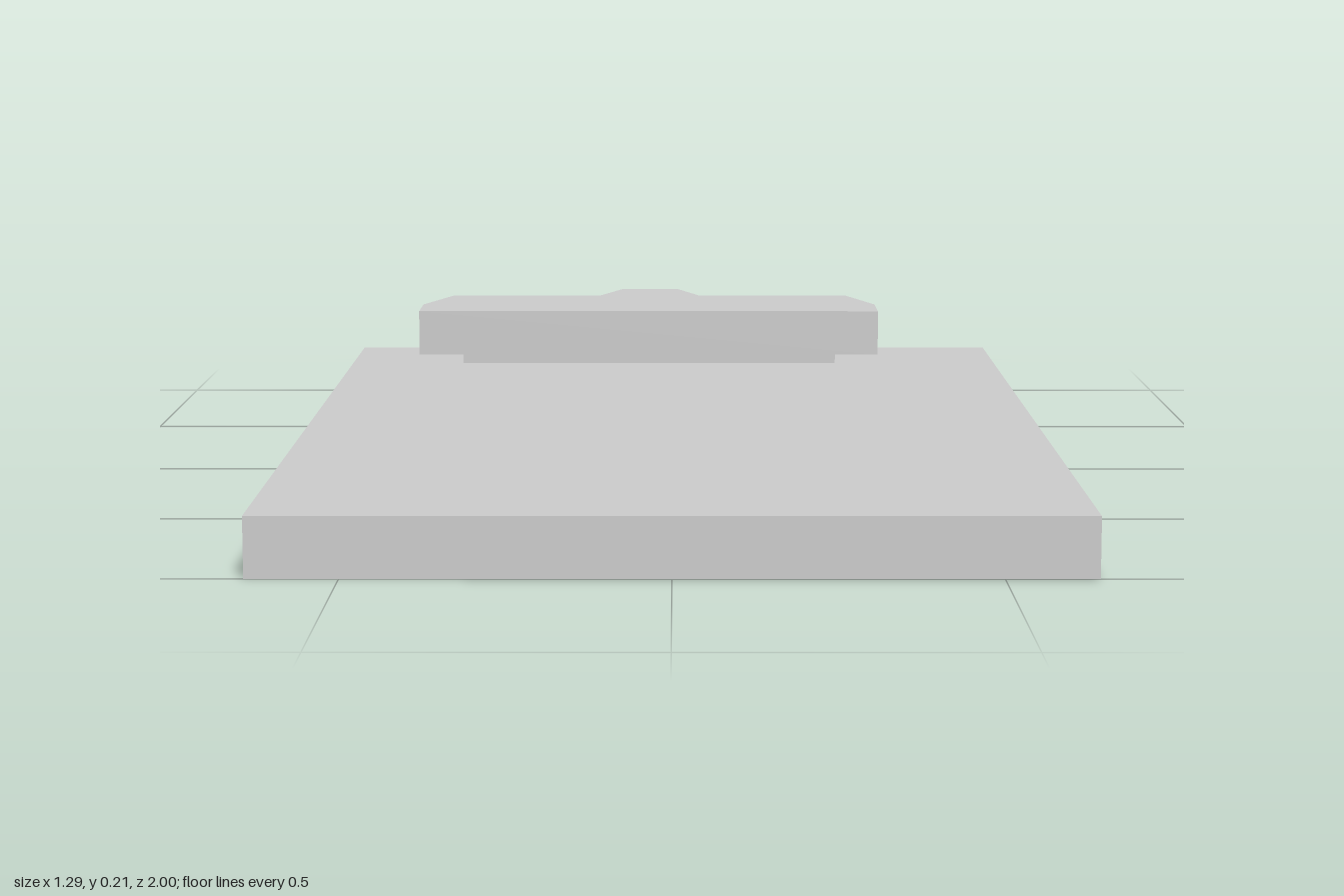
import * as THREE from 'three';

const material = new THREE.MeshStandardMaterial({ color: 0xcccccc, flatShading: true });

// Box given by its limits on each axis
function block(name, [x0, x1], [y0, y1], [z0, z1]) {
  const mesh = new THREE.Mesh(new THREE.BoxGeometry(x1 - x0, y1 - y0, z1 - z0), material);
  mesh.position.set((x0 + x1) / 2, (y0 + y1) / 2, (z0 + z1) / 2);
  mesh.name = name;
  return mesh;
}

export function createModel() {
  const model = new THREE.Group();
  model.name = 'clipboard';

  // Flat backing board
  model.add(block('board', [-0.643, 0.643], [0, 0.096], [-0.957, 1]));

  // Narrow spacer that lifts the clip off the board
  model.add(block('clipSpacer', [-0.422, 0.324], [0.096, 0.128], [-0.88, -0.718]));

  // Clip plate: half outline as (distance from clip centre, distance towards the back), mirrored
  const half = [[0.452, 0.603], [0.452, 0.718], [0.4, 0.88], [0.1, 0.88], [0.056, 1]];
  const outline = [...half, ...half.map(([x, d]) => [-x, d]).reverse()];
  const shape = new THREE.Shape(outline.map(([x, d]) => new THREE.Vector2(x, d)));
  const geometry = new THREE.ExtrudeGeometry(shape, { depth: 0.086, bevelEnabled: false });
  geometry.rotateX(-Math.PI / 2);
  const clip = new THREE.Mesh(geometry, material);
  clip.position.set(-0.049, 0.128, 0);
  clip.name = 'clip';
  model.add(clip);

  return model;
}
